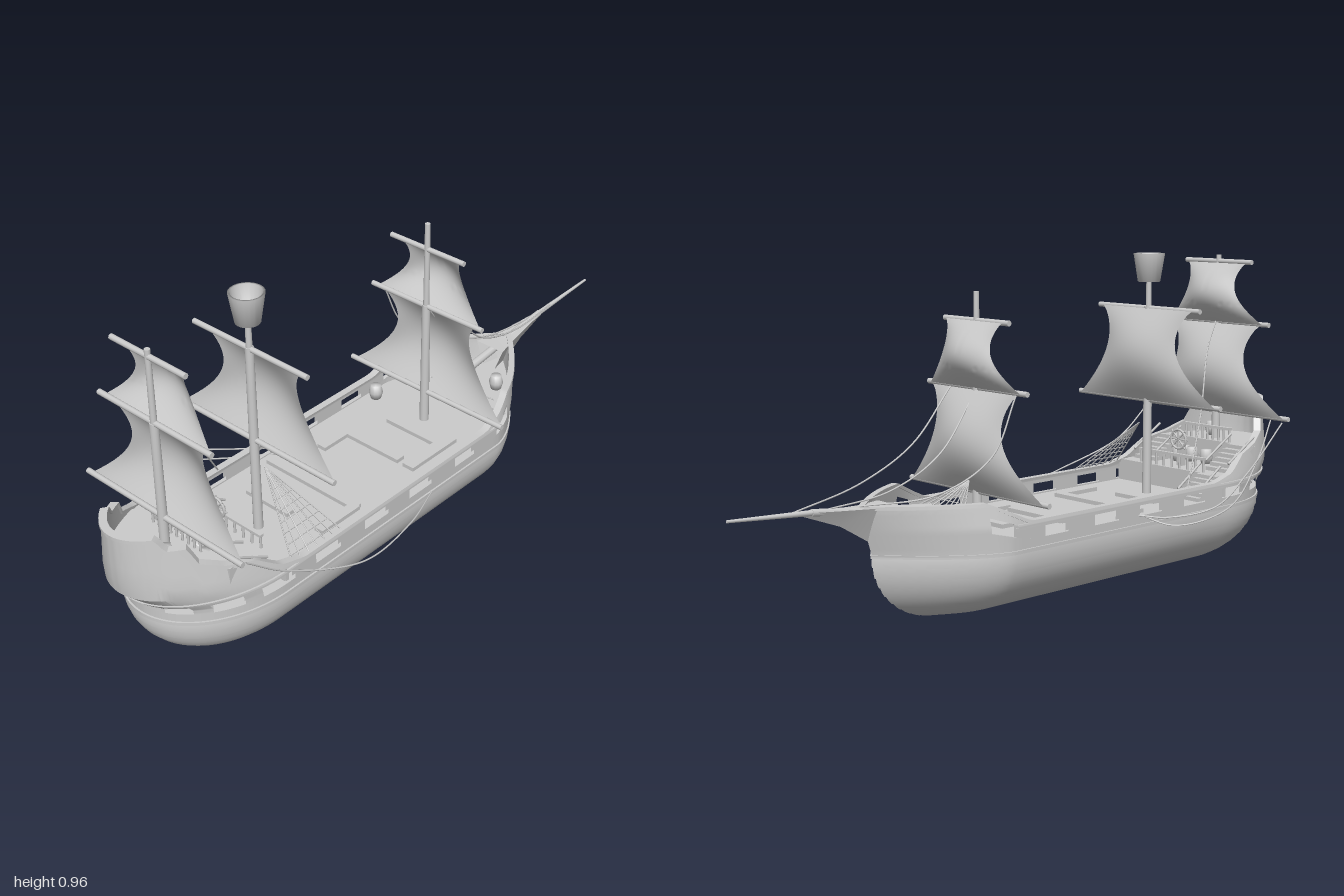
import * as THREE from 'three';
import { toCreasedNormals } from 'three/addons/utils/BufferGeometryUtils.js';

const mat = new THREE.MeshStandardMaterial({ color: 0xcccccc, side: THREE.DoubleSide });
const V = (x, y, z) => new THREE.Vector3(x, y, z);
const clamp01 = t => Math.min(1, Math.max(0, t));
const mix = THREE.MathUtils.lerp;

export function createModel() {
  const root = new THREE.Group();
  const ship = new THREE.Group();
  ship.name = 'ship';
  ship.position.x = 0.015;
  root.add(ship);

  function add(name, geo, x = 0, y = 0, z = 0) {
    const m = new THREE.Mesh(geo, mat);
    m.name = name;
    m.position.set(x, y, z);
    ship.add(m);
    return m;
  }
  const box = (name, w, h, d, x, y, z) => add(name, new THREE.BoxGeometry(w, h, d), x, y, z);

  // tapered rod between two points
  function rod(name, a, b, r0, r1 = r0, sides = 10) {
    const d = b.clone().sub(a);
    const m = add(name, new THREE.CylinderGeometry(r1, r0, d.length(), sides));
    m.position.copy(a).addScaledVector(d, 0.5);
    m.quaternion.setFromUnitVectors(V(0, 1, 0), d.normalize());
    return m;
  }
  const rope = (name, pts, r = 0.0025) => add(name, new THREE.TubeGeometry(
    new THREE.CatmullRomCurve3(pts.map(p => V(...p))), 40, r, 5));

  // skin over a list of equal-length point rings
  function loft(rings, closed = false, crease = 0.6) {
    const n = rings[0].length, idx = [];
    for (let i = 0; i < rings.length - 1; i++)
      for (let j = 0; j < (closed ? n : n - 1); j++) {
        const a = i * n + j, b = i * n + (j + 1) % n, c = a + n, d = b + n;
        idx.push(a, b, d, a, d, c);
      }
    const g = new THREE.BufferGeometry().setFromPoints(rings.flat());
    g.setIndex(idx);
    return toCreasedNormals(g, crease);
  }

  // plan outline: s = 0 is the stern centre, +-1 stern quarter, +-2 bow shoulder, +-3 stem
  const Z0 = 0.62, Z1 = -0.25;
  function outline(s, y, { w, zs, zb }) {
    const a = Math.abs(s), sg = s < 0 ? -1 : 1;
    if (a <= 1) return V(sg * w * Math.sin(a * Math.PI / 2), y, Z0 + (zs - Z0) * Math.cos(a * Math.PI / 2));
    if (a <= 2) return V(sg * w, y, mix(Z0, Z1, a - 1));
    const t = a - 2;
    return V(sg * w * (1 - Math.pow(t, 1.65)), y, mix(Z1, zb, t));
  }
  const level = (y, out = 0) => ({
    w: 0.228 - 0.22 * Math.max(0, y - 0.27) + out,
    zs: 0.93 + 0.068 * clamp01((y - 0.24) / 0.07) + out,
    zb: -0.56 - 0.04 * clamp01((y - 0.2) / 0.13) - out,
  });
  const range = (a, b, n) => Array.from({ length: n + 1 }, (_, i) => mix(a, b, i / n));

  // overlapping planks of the lower hull
  const strakes = 10, hullRings = [];
  for (let i = 0; i < strakes; i++)
    for (const [k, out] of [[i, i ? 0.004 : 0], [i + 0.5, 0.003], [i + 1, 0]]) {
      const a = k / strakes * Math.PI / 2, q = Math.sin(a);
      const lv = { w: 0.228 * q + out, zs: 0.66 + 0.27 * q + out, zb: -0.33 - 0.23 * q - out };
      hullRings.push(range(3, -3, 120).map(s => outline(s, 0.2 * (1 - Math.cos(a)), lv)));
    }
  add('hull', loft(hullRings, false, 0.5));

  // sheer line: low waist, raised bow and stepped stern castle
  const castle = [[0.56, 0.275], [0.64, 0.295], [0.71, 0.345], [0.79, 0.365], [0.855, 0.395],
    [0.875, 0.445], [0.92, 0.45], [0.94, 0.488], [1.1, 0.488]];
  function top(s) {
    const z = outline(s, 0, level(0.35)).z;
    if (z < 0.56) return 0.275 + 0.06 * clamp01((-0.2 - z) / 0.13);
    const i = castle.findIndex(p => p[0] > z);
    const [a, b] = [castle[i - 1], castle[i]];
    return mix(a[1], b[1], (z - a[0]) / (b[0] - a[0]));
  }

  // thin wall following the outline, from height lo(s) to hi(s)
  function wall(name, s0, s1, lo, hi, out = 0, th = 0.012) {
    const n = Math.max(3, Math.round(Math.abs(s1 - s0) * 40));
    const rings = range(s0, s1, n).map(s => {
      const ys = range(lo(s), hi(s), 5);
      return [...ys.map(y => outline(s, y, level(y, out))),
        ...ys.reverse().map(y => outline(s, y, level(y, out - th)))];
    });
    add(name, loft(rings, true, 0.5));
  }
  const rise = s => Math.abs(s) > 1.5 ? top(s) - 0.275 : 0;
  const sill = s => 0.228 + rise(s) * 0.5;
  const lintel = s => 0.258 + rise(s) * 0.7;
  wall('lowerBulwark', -3, 3, () => 0.195, sill);
  wall('upperBulwark', -3, 3, lintel, top);
  wall('gunwale', -3, 3, s => top(s) - 0.006, s => top(s) + 0.004, 0.005, 0.022);
  wall('lowerWale', -3, 3, () => 0.194, () => 0.204, 0.005);
  wall('upperWale', -2, 2, () => 0.264, () => 0.274, 0.005);
  // pillars between the gun ports
  const ports = [[0.22, 0.41], [0.53, 0.72], [0.83, 1.03], [1.12, 1.23], [1.34, 1.45],
    [1.55, 1.66], [1.78, 1.88], [2.0, 2.22]];
  for (const sg of [1, -1])
    [...ports, [3, 3]].forEach((p, i) =>
      wall('portPillar', sg * (i ? ports[i - 1][1] : 0), sg * p[0], sill, lintel));

  // decks, each cut off forward of zMin or aft of zMax
  function deck(name, y, zMin, zMax = 2) {
    const pts = range(-3, 3, 120).map(s => {
      const p = outline(s, y, level(y, -0.006));
      return new THREE.Vector2(p.x, -Math.min(zMax, Math.max(zMin, p.z)));
    });
    add(name, new THREE.ShapeGeometry(new THREE.Shape(pts)).rotateX(-Math.PI / 2), 0, y, 0);
  }
  deck('mainDeck', 0.224, -1);
  deck('quarterDeck', 0.29, 0.61);
  deck('poopDeck', 0.36, 0.78);
  deck('foreDeck', 0.262, -1, -0.33);
  box('quarterBulkhead', 0.44, 0.066, 0.01, 0, 0.257, 0.615);
  box('poopBulkhead', 0.39, 0.07, 0.01, 0, 0.325, 0.785);
  box('foreBulkhead', 0.39, 0.038, 0.01, 0, 0.243, -0.33);

  // raised deck planking: [x, z, width, depth]
  for (const [x, z, w, d] of [[0.04, -0.13, 0.22, 0.06], [0.13, -0.04, 0.04, 0.15], [-0.02, 0.02, 0.22, 0.03],
    [-0.12, 0.07, 0.03, 0.12], [-0.02, 0.27, 0.34, 0.03], [0.14, 0.34, 0.03, 0.15], [-0.05, 0.41, 0.16, 0.03]])
    box('deckPlank', w, 0.012, d, x, 0.23, z);

  // stairs up to the quarterdeck and the poop
  function stairs(x, z0, z1, y0, y1, w) {
    const n = 6, d = (z1 - z0) / n;
    for (let i = 0; i < n; i++) {
      const h = (y1 - y0) * (i + 1) / n;
      box('stairStep', w, h, d, x, y0 + h / 2, z0 + d * (i + 0.5));
    }
    for (const e of [-1, 1])
      rod('stairRail', V(x + e * w / 2, y0 + 0.03, z0), V(x + e * w / 2, y1 + 0.03, z1), 0.004, 0.004, 6);
  }
  stairs(-0.165, 0.51, 0.61, 0.224, 0.29, 0.08);
  for (const x of [-0.15, 0.15]) stairs(x, 0.66, 0.78, 0.29, 0.36, 0.09);

  // balustrades
  for (const [y, z, w] of [[0.29, 0.62, 0.13], [0.36, 0.79, 0.09]]) {
    for (const x of range(-w, w, 8)) rod('baluster', V(x, y, z), V(x, y + 0.04, z), 0.004, 0.004, 6);
    box('handrail', w * 2 + 0.01, 0.008, 0.012, 0, y + 0.042, z);
  }

  // steering wheel
  box('wheelStand', 0.02, 0.07, 0.02, 0, 0.325, 0.665);
  add('wheelRim', new THREE.TorusGeometry(0.03, 0.004, 6, 20), 0, 0.375, 0.65);
  for (let i = 0; i < 4; i++) {
    const c = Math.cos(i * Math.PI / 4) * 0.04, s = Math.sin(i * Math.PI / 4) * 0.04;
    rod('wheelSpoke', V(-c, 0.375 - s, 0.65), V(c, 0.375 + s, 0.65), 0.0025, 0.0025, 5);
  }

  // barrels
  const barrel = new THREE.LatheGeometry([[0, 0], [0.016, 0], [0.022, 0.022], [0.016, 0.045], [0, 0.045]]
    .map(p => new THREE.Vector2(...p)), 12);
  for (const [x, y, z] of [[0.06, 0.29, 0.72], [0.03, 0.29, 0.75], [0.07, 0.29, 0.76], [-0.03, 0.29, 0.75],
    [0.05, 0.36, 0.87], [-0.185, 0.224, -0.18], [-0.1, 0.262, -0.41], [0.09, 0.262, -0.42]])
    add('barrel', barrel, x, y, z);

  // masts with a thinner upper part
  function mast(name, z, base, joint, tip) {
    rod(name, V(0, base, z), V(0, joint, z), 0.014, 0.012, 14);
    rod(name + 'Top', V(0, joint, z), V(0, tip, z), 0.009, 0.008, 12);
  }
  mast('aftMast', 0.83, 0.29, 0.735, 0.945);
  mast('mainMast', 0.505, 0.22, 0.8, 0.9);
  mast('foreMast', -0.19, 0.22, 0.62, 0.88);

  // yards, and billowing sails with pinched sides
  const yard = (y, z, w) => rod('yard', V(-w, y, z), V(w, y, z), 0.008, 0.008, 10);
  function sail(z, y0, w0, y1, w1, waist, bulge) {
    const rings = range(0, 1, 20).map(v => {
      const pinch = Math.min(w0, w1) - waist;
      const w = mix(w0, w1, Math.pow(v, 2.2)) - pinch * Math.sin(Math.PI * Math.pow(v, 0.8));
      return range(-1, 1, 20).map(u =>
        V(u * w, mix(y0, y1, v), z - 0.01 - bulge * Math.sin(Math.PI * v) * (1 - 0.55 * u * u)));
    });
    add('sail', loft(rings, false, 1));
  }
  for (const [y, z, w] of [[0.925, 0.83, 0.133], [0.735, 0.83, 0.205], [0.45, 0.83, 0.29], [0.795, 0.505, 0.205],
    [0.515, 0.505, 0.29], [0.8, -0.19, 0.133], [0.615, -0.19, 0.205], [0.325, -0.19, 0.29]]) yard(y, z, w);
  sail(0.83, 0.92, 0.115, 0.735, 0.185, 0.085, 0.06);
  sail(0.83, 0.73, 0.175, 0.45, 0.275, 0.125, 0.065);
  sail(0.505, 0.795, 0.18, 0.515, 0.275, 0.125, 0.055);
  sail(-0.19, 0.8, 0.115, 0.615, 0.185, 0.085, 0.06);
  sail(-0.19, 0.61, 0.175, 0.325, 0.275, 0.125, 0.06);

  // crow's nest
  add('lookout', new THREE.LatheGeometry([[0, 0.875], [0.034, 0.875], [0.048, 0.96], [0.042, 0.96], [0.03, 0.885], [0, 0.885]]
    .map(p => new THREE.Vector2(...p)), 20), 0, 0, 0.505);

  // bowsprit and beak
  rod('bowsprit', V(0, 0.3, -0.36), V(0, 0.345, -0.75), 0.014, 0.01);
  rod('bowspritTip', V(0, 0.345, -0.75), V(0, 0.36, -1), 0.008, 0.004);
  add('beak', loft([[-0.5, 0.335, 0.2, 0.05], [-0.57, 0.335, 0.24, 0.034], [-0.66, 0.34, 0.295, 0.02], [-0.78, 0.348, 0.34, 0.004]]
    .map(([z, t, b, w]) => [V(-w, t, z), V(0, b, z), V(w, t, z)]), true, 0.4));

  // loose ropes and stays
  rope('sternRope', [[-0.28, 0.44, 0.81], [-0.36, 0.33, 0.55], [-0.365, 0.25, 0.4], [-0.29, 0.225, 0.28], [-0.22, 0.23, 0.22]]);
  rope('sternRope', [[-0.22, 0.44, 0.83], [-0.29, 0.34, 0.68], [-0.365, 0.235, 0.45], [-0.3, 0.2, 0.3], [-0.2, 0.23, 0.24]]);
  rope('sternRope', [[0.28, 0.44, 0.81], [0.29, 0.34, 0.68], [0.338, 0.255, 0.45], [0.3, 0.225, 0.22], [0.24, 0.21, 0.06]]);
  rope('backStay', [[0, 0.735, 0.82], [-0.07, 0.66, 0.7], [-0.15, 0.48, 0.58], [-0.215, 0.28, 0.45]]);
  rope('foreStay', [[0.1, 0.61, -0.2], [0.08, 0.47, -0.35], [0.05, 0.39, -0.55], [0, 0.35, -0.82]]);
  rope('foreStay', [[0, 0.6, -0.2], [-0.01, 0.45, -0.33], [-0.01, 0.37, -0.5], [0, 0.345, -0.72]]);
  rope('foreStay', [[-0.17, 0.61, -0.2], [-0.16, 0.45, -0.28], [-0.1, 0.36, -0.42], [0, 0.34, -0.6]]);

  // rope nets fanning out from an apex to a base line
  function net(apex, a, b, lines, rungs) {
    const foot = t => a.clone().lerp(b, t);
    for (const t of range(0, 1, lines)) rod('netLine', apex, foot(t), 0.002, 0.002, 5);
    for (const k of range(0.25, 0.92, rungs))
      rod('netRung', apex.clone().lerp(a, k), apex.clone().lerp(b, k), 0.0015, 0.0015, 5);
  }
  net(V(0.03, 0.44, 0.5), V(0.225, 0.275, 0.6), V(0.225, 0.275, 0.41), 6, 6);
  net(V(0, 0.36, -0.22), V(-0.13, 0.265, -0.36), V(0.13, 0.265, -0.36), 8, 5);

  return root;
}
